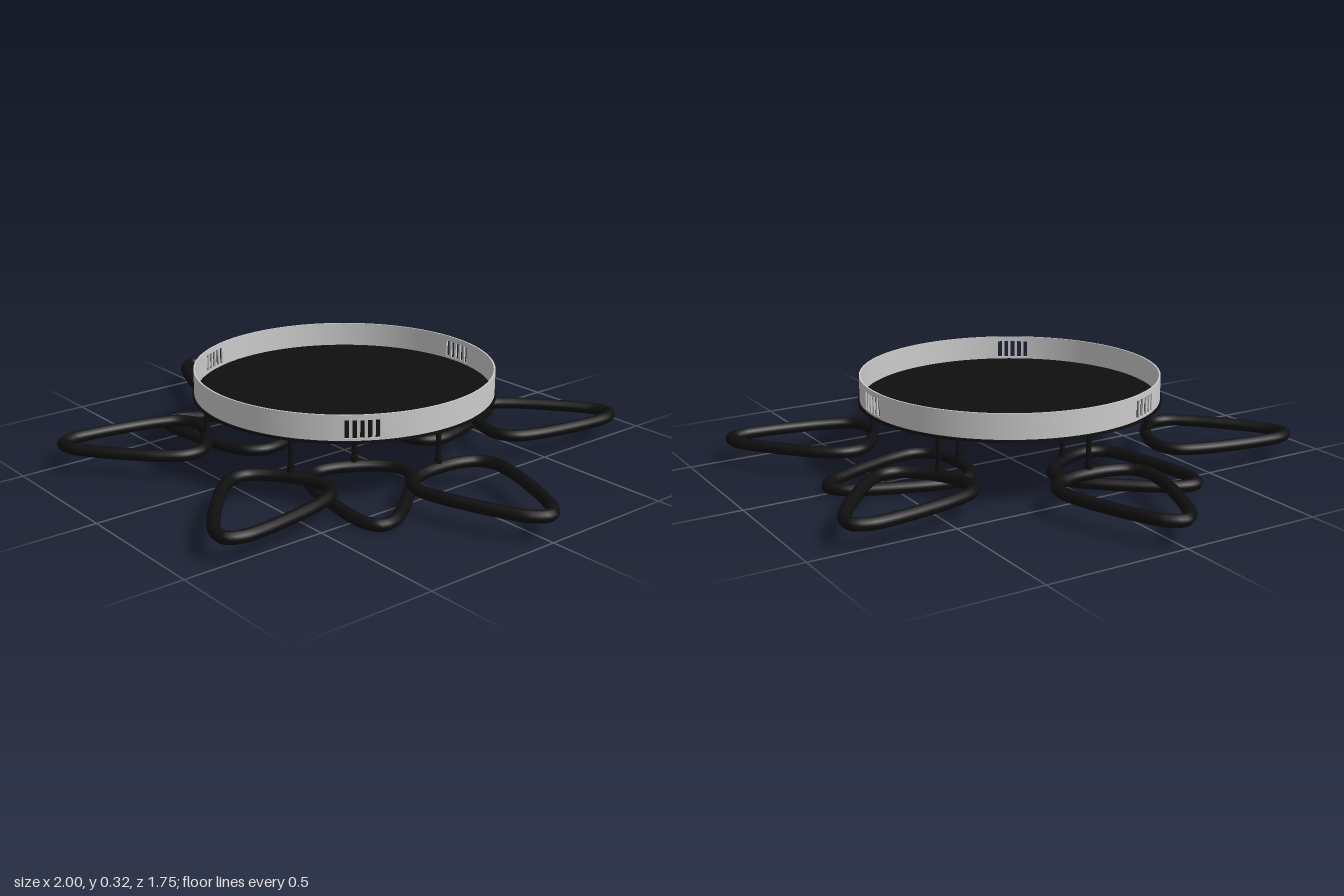
import * as THREE from 'three';
import { mergeGeometries, toCreasedNormals } from 'three/addons/utils/BufferGeometryUtils.js';

const WALL_R = 0.524, WALL_T = 0.006;
const PLATE_Y = 0.226, PLATE_T = 0.008;
const TUBE_R = 0.021;
const RAD = Math.PI / 180;

const grey = new THREE.MeshStandardMaterial({ color: 0xcccccc, side: THREE.DoubleSide });
const black = new THREE.MeshStandardMaterial({ color: 0x0f0f0f });

function add(parent, name, geometry, material) {
  const mesh = new THREE.Mesh(geometry, material);
  mesh.name = name;
  parent.add(mesh);
  return mesh;
}

// Curved wall piece between two angles (degrees, measured from +z towards +x)
function arcWall(from, to, y0, y1) {
  const a0 = (from - 90) * RAD, a1 = (to - 90) * RAD;
  const shape = new THREE.Shape();
  shape.absarc(0, 0, WALL_R, a0, a1, false);
  shape.absarc(0, 0, WALL_R - WALL_T, a1, a0, true);
  const geo = new THREE.ExtrudeGeometry(shape, {
    depth: y1 - y0,
    bevelEnabled: false,
    curveSegments: Math.max(2, Math.ceil((to - from) / 4)),
  });
  geo.rotateX(-Math.PI / 2).translate(0, y0, 0);
  return toCreasedNormals(geo, 0.6);
}

// Open-topped ring with three groups of five upright vent slots
function canopyWall() {
  const y0 = PLATE_Y + PLATE_T, slotLow = 0.242, slotHigh = 0.302, top = 0.32;
  const pitch = 2.7, slot = 1.6, count = 5;
  const parts = [];
  for (let i = 0; i < 3; i++) {
    const center = 57 + i * 120;
    parts.push(arcWall(center, center + 120, y0, slotLow));
    parts.push(arcWall(center, center + 120, slotHigh, top));
    const first = center - pitch * (count - 1) / 2;
    for (let k = 0; k < count; k++) {
      const start = first + k * pitch + slot / 2;
      const end = k < count - 1 ? first + (k + 1) * pitch - slot / 2 : first + 120 - slot / 2;
      parts.push(arcWall(start, end, slotLow, slotHigh));
    }
  }
  return mergeGeometries(parts);
}

// Closed petal loop pointing along +x, with the middle of its inner edge at the origin
function petalLoop() {
  const half = [[0.008, 0.08], [0.036, 0.143], [0.09, 0.172], [0.175, 0.163],
    [0.29, 0.127], [0.4, 0.083], [0.465, 0.046]];
  const outline = [[0, 0], ...half, [0.494, 0], ...half.map(([x, z]) => [x, -z]).reverse()];
  const curve = new THREE.CatmullRomCurve3(
    outline.map(([x, z]) => new THREE.Vector3(x, 0, z)), true);
  return new THREE.TubeGeometry(curve, 96, TUBE_R, 12, true);
}

export function createModel() {
  const model = new THREE.Group();
  model.name = 'ceilingLamp';

  // Canopy
  add(model, 'canopyWall', canopyWall(), grey);
  const plate = new THREE.CylinderGeometry(0.531, 0.531, PLATE_T, 96);
  add(model, 'canopyPlate', plate, black).position.y = PLATE_Y + PLATE_T / 2;

  // Petals, each hung on a rod with a small collar
  const loop = petalLoop();
  const collarGeo = new THREE.CylinderGeometry(0.013, 0.013, 0.022, 16);
  function addPetal(name, angle, distance, y) {
    const arm = new THREE.Group();
    arm.name = name;
    arm.rotation.y = angle * RAD;
    add(arm, 'petalRing', loop, black).position.set(distance, y, 0);
    const rodGeo = new THREE.CylinderGeometry(0.009, 0.009, PLATE_Y - y, 12);
    add(arm, 'rod', rodGeo, black).position.set(distance, (PLATE_Y + y) / 2, 0);
    add(arm, 'collar', collarGeo, black).position.set(distance, y + TUBE_R + 0.008, 0);
    model.add(arm);
  }
  for (let i = 0; i < 6; i++) addPetal('outerPetal', i * 60, 0.485, 0.083);
  for (let i = 0; i < 3; i++) addPetal('innerPetal', 90 + i * 120, 0.208, TUBE_R);

  return model;
}
